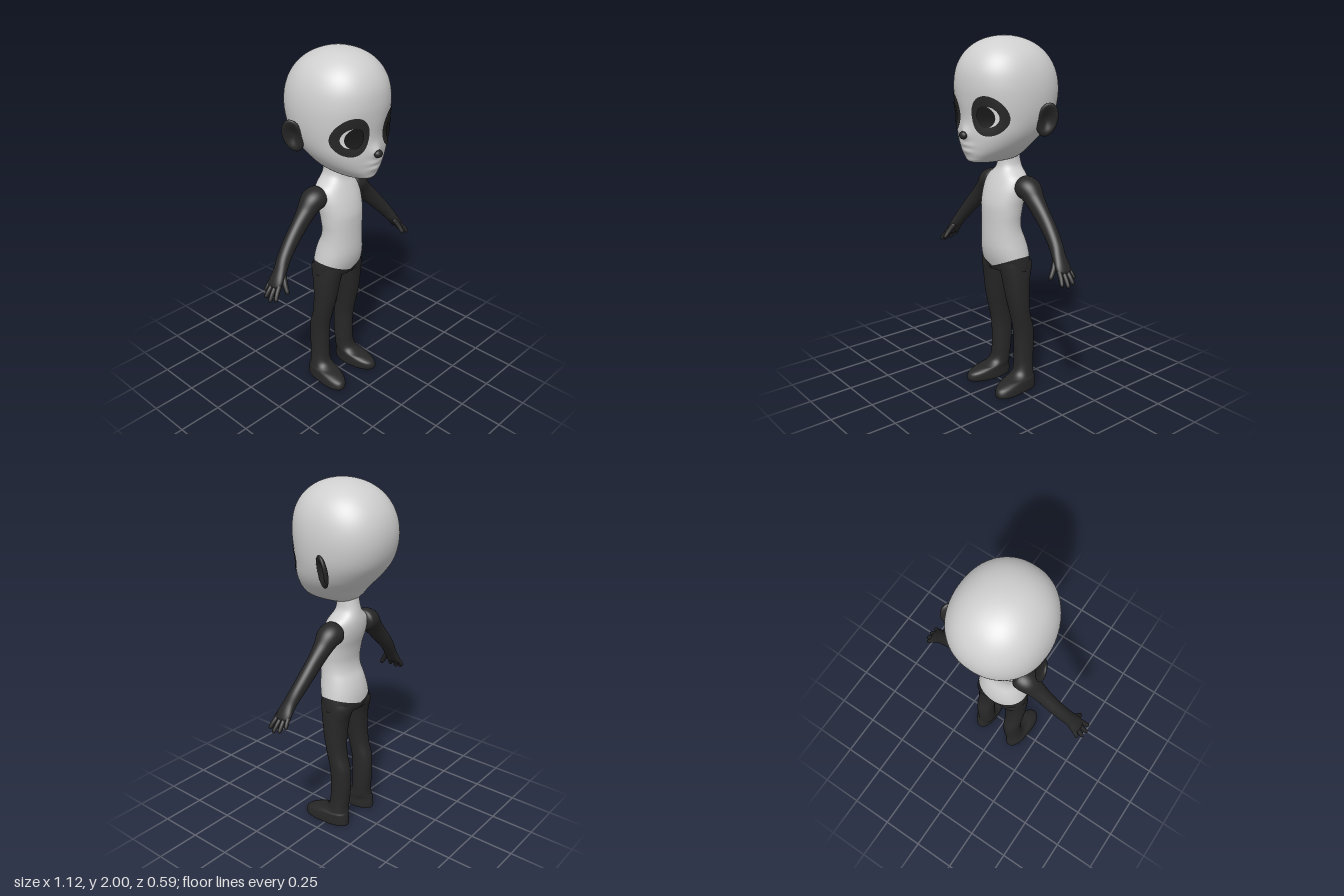
import * as THREE from 'three';

const mat = (name, color) => Object.assign(new THREE.MeshStandardMaterial({ color }), { name });

// Smooth interpolation through the rows of a table, t in 0..1
function sample(rows, t) {
  const n = rows.length - 1;
  const p = Math.min(Math.max(t, 0), 1) * n;
  const i = Math.min(Math.floor(p), n - 1), f = p - i;
  return rows[i].map((b, k) => {
    const c = rows[i + 1][k];
    const a = i > 0 ? rows[i - 1][k] : 2 * b - c;
    const d = i < n - 1 ? rows[i + 2][k] : 2 * c - b;
    return b + 0.5 * f * (c - a + f * (2 * a - 5 * b + 4 * c - d + f * (3 * (b - c) + d - a)));
  });
}

// Closed surface from fn(angle, v) -> [x, y, z]; side = -1 mirrors it in x
function surface(fn, nu, nv, side = 1) {
  const pos = [], idx = [];
  for (let j = 0; j <= nv; j++) {
    for (let i = 0; i < nu; i++) {
      const [x, y, z] = fn((i / nu) * Math.PI * 2, j / nv);
      pos.push(x * side, y, z);
    }
  }
  for (let j = 0; j < nv; j++) {
    for (let i = 0; i < nu; i++) {
      const a = j * nu + i, b = j * nu + (i + 1) % nu, c = a + nu, d = b + nu;
      if (side > 0) idx.push(a, b, c, b, d, c);
      else idx.push(a, c, b, b, c, d);
    }
  }
  const g = new THREE.BufferGeometry();
  g.setAttribute('position', new THREE.Float32BufferAttribute(pos, 3));
  g.setIndex(idx);
  g.computeVertexNormals();
  return g;
}

// Rounded cross-section between zf (front) and zb (back)
const POWER = 2.15;
const soft = (s) => Math.sign(s) * Math.abs(s) ** (2 / POWER);
const ring = (a, hw, zf, zb) =>
  [hw * soft(Math.cos(a)), (zf + zb) / 2 + ((zf - zb) / 2) * soft(Math.sin(a))];

// Head sections from crown to chin: half width, front z, back z
const HEAD = [
  [0, 0, 0], [0.08, 0.09, -0.085], [0.15, 0.165, -0.165], [0.205, 0.222, -0.228],
  [0.24, 0.258, -0.272], [0.257, 0.27, -0.293], [0.259, 0.267, -0.29], [0.248, 0.258, -0.262],
  [0.222, 0.258, -0.205], [0.178, 0.253, -0.14], [0.122, 0.246, -0.1], [0.066, 0.22, -0.05],
  [0, 0.09, 0.09],
];
const HEAD_Y = 1.67, HEAD_R = 0.33;
const bump = (x, y, cx, cy, sx, sy, h) => h * Math.exp(-(((x - cx) / sx) ** 2) - ((y - cy) / sy) ** 2);

// Nose, lips and shallow eye sockets
const face = (x, y) =>
  bump(x, y, 0, 1.505, 0.03, 0.035, 0.022) +
  bump(x, y, 0, 1.447, 0.05, 0.014, 0.01) + bump(x, y, 0, 1.415, 0.04, 0.014, 0.01) +
  bump(Math.abs(x), y, 0.12, 1.605, 0.07, 0.08, -0.012);

function headPoint(a, v) {
  const y = HEAD_Y + HEAD_R * Math.cos(Math.PI * v);
  const [x, z] = ring(a, ...sample(HEAD, v));
  return [x, y, z + (Math.sin(a) > 0 ? face(x, y) * Math.sin(a) ** 0.5 : 0)];
}

// Front surface of the head at x, y
function headZ(x, y) {
  const [hw, zf, zb] = sample(HEAD, Math.acos((y - HEAD_Y) / HEAD_R) / Math.PI);
  const k = Math.max(0, 1 - Math.abs(x / hw) ** POWER) ** (1 / POWER);
  return (zf + zb) / 2 + ((zf - zb) / 2) * k + face(x, y) * k ** 0.5;
}

// Thin oval plate lying on the face
function plate(cx, cy, rx, ry, lift, side) {
  return surface((a, v) => {
    const x = cx + rx * (1 - v) * Math.cos(a), y = cy + ry * (1 - v) * Math.sin(a);
    const z = headZ(x, y), l = Math.hypot(x, z);
    return [x + (x / l) * lift, y, z + (z / l) * lift];
  }, 40, 10, side);
}

// Torso sections every 0.05 from y = 1.40 down to 0.70
const TORSO = [
  [0.055, 0.04, -0.09], [0.055, 0.035, -0.095], [0.068, 0.04, -0.105], [0.125, 0.065, -0.112],
  [0.14, 0.088, -0.11], [0.138, 0.105, -0.1], [0.132, 0.116, -0.085], [0.128, 0.118, -0.075],
  [0.124, 0.118, -0.07], [0.126, 0.118, -0.078], [0.134, 0.118, -0.1], [0.144, 0.115, -0.115],
  [0.152, 0.105, -0.122], [0.156, 0.088, -0.12], [0.155, 0.07, -0.1],
];
// V-shaped waistline where the colours meet
const waist = (a) => 0.81 - (Math.sin(a) > 0 ? 0.065 : 0.045) * (1 - Math.abs(Math.cos(a)));
function torsoPoint(a, y) {
  const [x, z] = ring(a, ...sample(TORSO, (1.4 - y) / 0.7));
  return [x, y, z];
}
function hipPoint(a, v) {
  const w = waist(a), k = v > 0.8 ? (1 - v) / 0.2 : 1;
  const [x, y, z] = torsoPoint(a, w + (0.722 - w) * Math.min(1, v / 0.8));
  return [x * k, y, z * k];
}

// Leg and foot sections: y, inner x, outer x, front z, back z
const LEG = [
  [0.78, 0.008, 0.148, 0.085, -0.112], [0.74, 0.004, 0.154, 0.08, -0.115],
  [0.66, 0.014, 0.16, 0.064, -0.092], [0.55, 0.032, 0.16, 0.046, -0.084],
  [0.45, 0.045, 0.157, 0.024, -0.092], [0.36, 0.05, 0.154, 0.006, -0.118],
  [0.27, 0.05, 0.152, 0, -0.123], [0.18, 0.05, 0.154, 0, -0.117],
  [0.13, 0.052, 0.16, 0.004, -0.112], [0.1, 0.053, 0.166, 0.02, -0.112],
  [0.082, 0.053, 0.172, 0.055, -0.114], [0.07, 0.054, 0.18, 0.105, -0.118],
  [0.05, 0.054, 0.184, 0.152, -0.122], [0.025, 0.053, 0.186, 0.166, -0.125],
  [0.006, 0.055, 0.184, 0.162, -0.124], [0, 0.065, 0.17, 0.145, -0.11], [0, 0.12, 0.12, 0.02, 0.02],
];
function legPoint(a, v) {
  const [y, xi, xo, zf, zb] = sample(LEG, v);
  const [x, z] = ring(a, (xo - xi) / 2, zf, zb);
  return [(xi + xo) / 2 + x + 0.12 * Math.max(0, z) * (y < 0.15 ? 1 - y / 0.15 : 0), Math.max(0, y), z];
}

// Round-tipped limb along rows of x, y, z, radius in the xy plane, radius in z
function limb(rows, nu, nv, side, cap = 0.12) {
  const at = (v) => new THREE.Vector3(...sample(rows, v));
  const Z = new THREE.Vector3(0, 0, 1);
  return surface((a, v) => {
    const s = sample(rows, v);
    const t = at(Math.min(1, v + 0.01)).sub(at(Math.max(0, v - 0.01))).normalize();
    const p = t.clone().cross(Z).normalize(), q = t.clone().cross(p);
    const end = Math.max(0, 1 - Math.min(v, 1 - v) / cap);
    const k = Math.sqrt(1 - end * end);
    const c = at(v).addScaledVector(p, s[3] * k * Math.cos(a)).addScaledVector(q, s[4] * k * Math.sin(a));
    return c.toArray();
  }, nu, nv, side);
}
const ARM = [
  [0.1, 1.205, -0.036, 0.06, 0.068], [0.165, 1.195, -0.036, 0.064, 0.07], [0.22, 1.142, -0.034, 0.052, 0.052],
  [0.28, 1.08, -0.03, 0.047, 0.042], [0.345, 1.015, -0.024, 0.042, 0.04], [0.41, 0.943, -0.012, 0.036, 0.038],
  [0.45, 0.89, 0, 0.03, 0.04], [0.485, 0.845, 0.005, 0.024, 0.047], [0.51, 0.81, 0.006, 0.016, 0.042],
];
// Finger bases, tips and radii, thumb first
const FINGERS = [
  [[0.445, 0.885, 0.02], [0.474, 0.79, 0.085], 0.015], [[0.485, 0.84, 0.036], [0.543, 0.765, 0.062], 0.013],
  [[0.49, 0.835, 0.015], [0.554, 0.754, 0.026], 0.013], [[0.49, 0.835, -0.008], [0.549, 0.763, -0.012], 0.013],
  [[0.48, 0.845, -0.026], [0.527, 0.785, -0.04], 0.012],
];

// Cupped ear leaning out and back
function earPoint(a, v) {
  const r = Math.sin(Math.PI * v), c = Math.cos(Math.PI * v);
  const n = 0.024 * c - (c > 0 ? 0.035 * (1 - r * r) ** 2 : 0);
  const b = 0.058 * r * Math.cos(a), h = -0.09 * r * Math.sin(a);
  return [0.262 + 0.5 * b + 0.86 * n + 0.22 * h, 1.577 + h, -0.073 - 0.86 * b + 0.5 * n];
}

export function createModel() {
  const pale = mat('pale skin', 0xcfcfcf);
  const dark = mat('dark skin', 0x272727);
  const white = mat('eye white', 0xdedede);
  const black = mat('iris', 0x1a1a1a);
  const model = new THREE.Group();
  model.name = 'figure';
  const add = (name, geometry, material, parent = model) => {
    const m = new THREE.Mesh(geometry, material);
    m.name = name;
    parent.add(m);
    return m;
  };

  add('head', surface(headPoint, 96, 96), pale);
  add('torso', surface((a, v) => torsoPoint(a, 1.4 + (waist(a) - 1.4) * v), 56, 48), pale);
  add('hips', surface(hipPoint, 56, 16), dark);

  const nose = add('nose', new THREE.SphereGeometry(1, 24, 16), dark);
  nose.scale.set(0.026, 0.021, 0.02);
  nose.position.set(0, 1.499, 0.275);

  for (const [side, label] of [[1, 'left'], [-1, 'right']]) {
    add(label + 'EyePatch', plate(0.133, 1.606, 0.084, 0.103, 0.004, side), dark);
    add(label + 'EyeWhite', plate(0.138, 1.602, 0.046, 0.052, 0.007, side), white);
    add(label + 'Iris', plate(0.124, 1.602, 0.044, 0.055, 0.01, side), black);
    add(label + 'Ear', surface(earPoint, 36, 28, side), dark);
    add(label + 'Leg', surface(legPoint, 40, 80, side), dark);

    const arm = new THREE.Group();
    arm.name = label + 'Arm';
    model.add(arm);
    add('armAndPalm', limb(ARM, 32, 56, side, 0.06), dark, arm);
    FINGERS.forEach(([from, to, r], i) => {
      const mid = from.map((f, k) => (f + to[k]) / 2 + (k === 0 ? 0.005 : 0));
      const rows = [[...from, r * 1.1, r * 1.1], [...mid, r, r], [...to, r * 0.8, r * 0.8]];
      add(i ? 'finger' + i : 'thumb', limb(rows, 14, 20, side, 0.16), dark, arm);
    });
  }
  return model;
}
